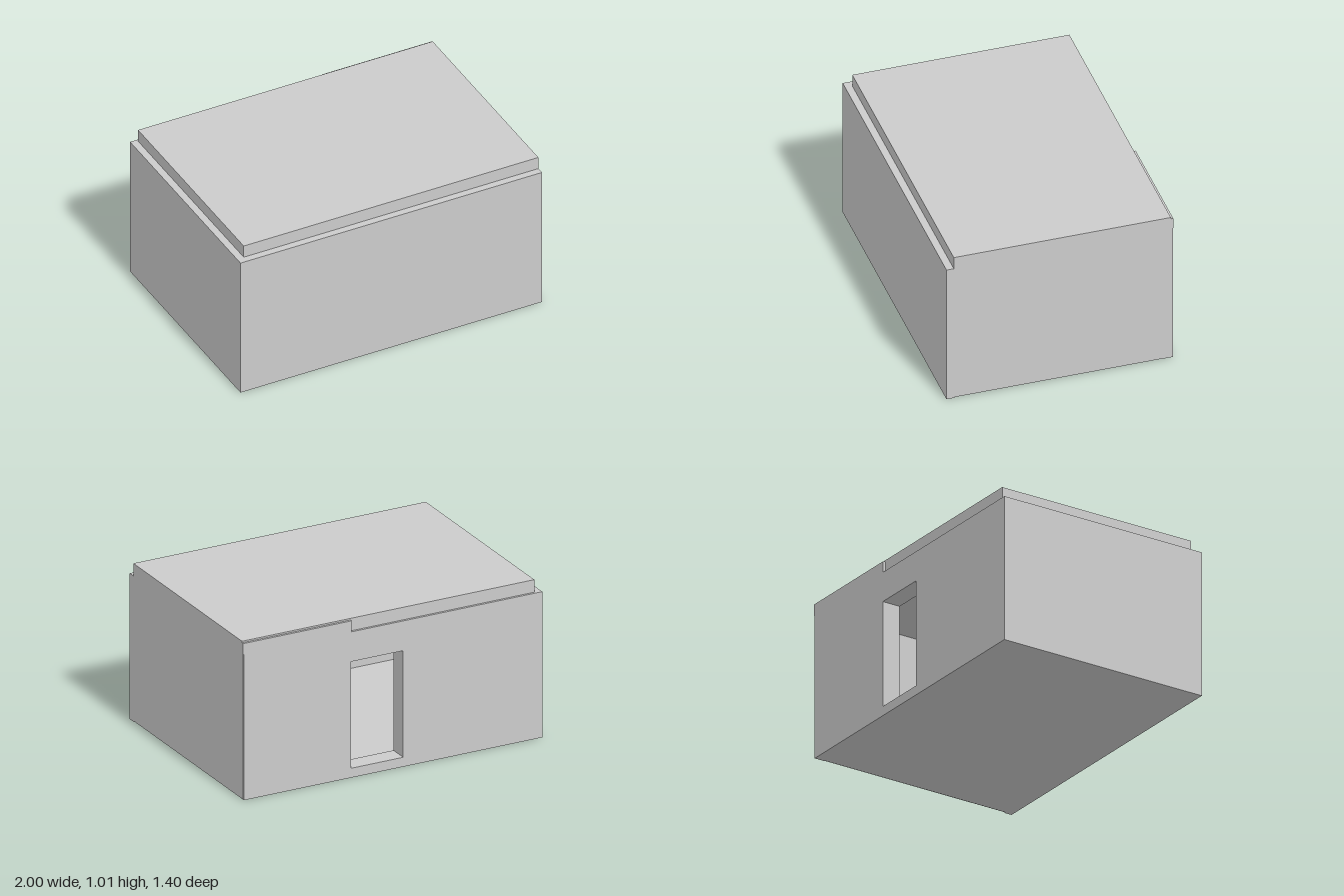
import * as THREE from 'three';

const material = new THREE.MeshStandardMaterial({ color: 0xcccccc, side: THREE.DoubleSide });

// Box given by its lower and upper corners
function slab(name, [x0, y0, z0], [x1, y1, z1]) {
  const mesh = new THREE.Mesh(new THREE.BoxGeometry(x1 - x0, y1 - y0, z1 - z0), material);
  mesh.position.set((x0 + x1) / 2, (y0 + y1) / 2, (z0 + z1) / 2);
  mesh.name = name;
  return mesh;
}

// Back wall with a doorway cut through it
function doorWall() {
  const outline = new THREE.Shape([[-1, 0], [0.28, 0], [0.28, 0.93], [-1, 0.93]]
    .map(([x, y]) => new THREE.Vector2(x, y)));
  outline.holes.push(new THREE.Path([[-0.07, 0.06], [-0.07, 0.74], [0.279, 0.74], [0.279, 0.06]]
    .map(([x, y]) => new THREE.Vector2(x, y))));
  const geometry = new THREE.ExtrudeGeometry(outline, { depth: 0.12, bevelEnabled: false });
  const mesh = new THREE.Mesh(geometry, material);
  mesh.position.z = -0.7;
  mesh.name = 'doorWall';
  return mesh;
}

export function createModel() {
  const room = new THREE.Group();
  room.name = 'room';
  room.add(
    slab('floor', [-1, 0, -0.7], [0.99, 0.05, 0.7]),
    slab('frontWall', [-1, 0, 0.65], [1, 0.93, 0.7]),
    slab('rightWall', [-1, 0, -0.7], [-0.95, 0.93, 0.7]),
    // Left wall stands slightly proud of the floor and back panel
    slab('leftWall', [0.94, 0.005, -0.695], [1, 0.93, 0.7]),
    doorWall(),
    // Taller back panel beside the doorway, with its top lip behind the roof
    slab('backPanel', [0.28, 0, -0.7], [0.995, 0.93, -0.63]),
    slab('backPanelLip', [0.275, 0.93, -0.7], [1, 1, -0.685]),
    // Roof slab set in from the front and right walls
    slab('roof', [-0.955, 0.93, -0.685], [1, 1.01, 0.655])
  );
  return room;
}
